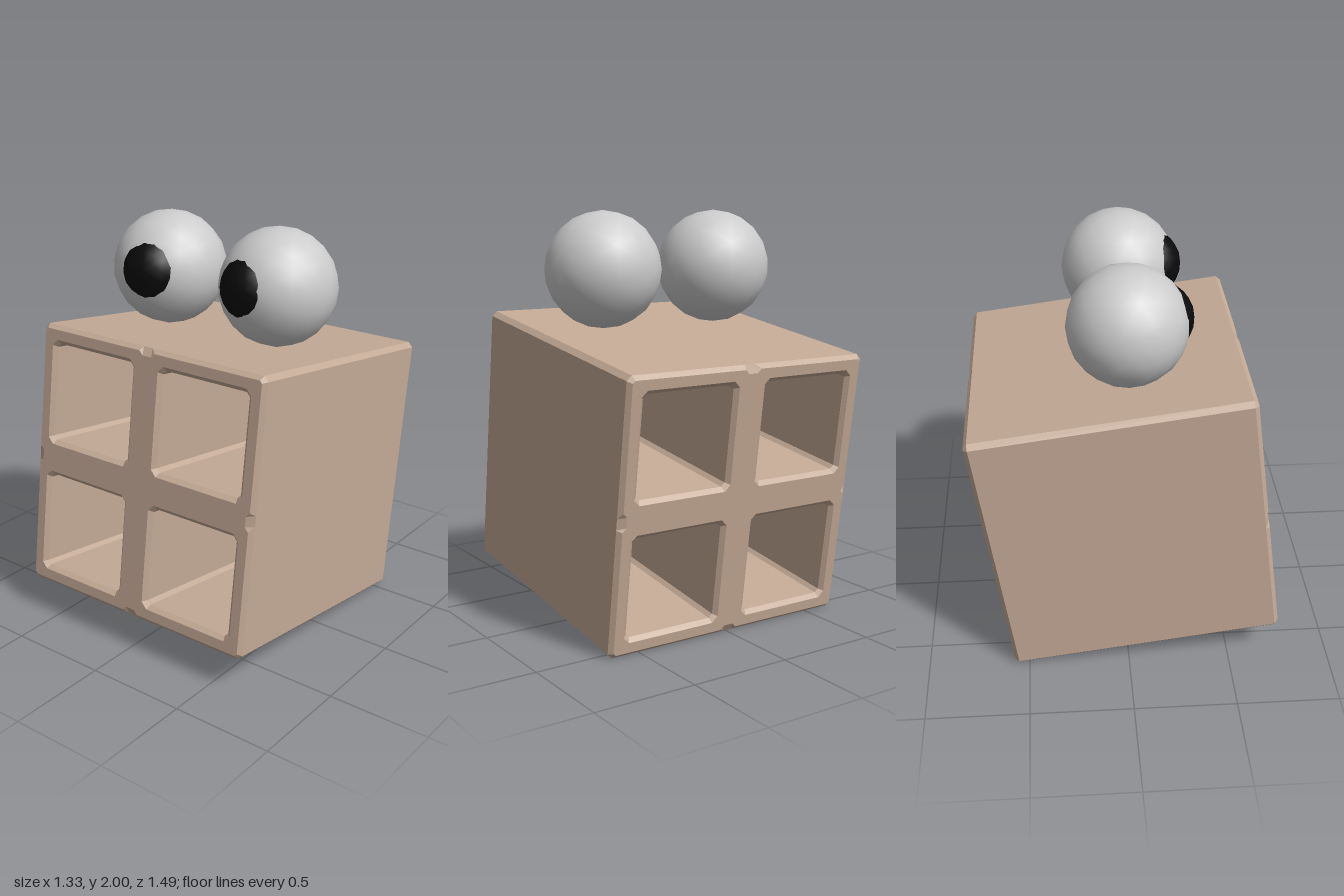
import * as THREE from 'three';

const HALF = 0.665;   // half side of the block
const BEVEL = 0.02;
const NOTCH = 0.02;   // depth of the small chips in the middle of the face edges

// Square window with small cut corners
function windowPath(cx, cy, h, cut) {
  const k = h - cut;
  return new THREE.Path([
    [-k, -h], [k, -h], [h, -k], [h, k], [k, h], [-k, h], [-h, k], [-h, -k],
  ].map(([x, y]) => new THREE.Vector2(cx + x, cy + y)));
}

// Bevelled block with four windows running right through it
function blockGeometry() {
  const e = HALF - BEVEL, c = e - 0.012;
  const side = [[-c, -e], [-0.045, -e], [-0.025, -e + NOTCH], [0.025, -e + NOTCH], [0.045, -e], [c, -e]];
  const outline = [];
  for (let i = 0; i < 4; i++) {
    for (const [x, y] of side) {
      outline.push(new THREE.Vector2(x, y).rotateAround(new THREE.Vector2(), i * Math.PI / 2));
    }
  }
  const shape = new THREE.Shape(outline);
  for (const x of [-1, 1]) {
    for (const y of [-1, 1]) shape.holes.push(windowPath(x * 0.333, y * 0.333, 0.263, 0.03));
  }
  const geo = new THREE.ExtrudeGeometry(shape, {
    depth: 2 * e, bevelEnabled: true, bevelThickness: BEVEL, bevelSize: BEVEL, bevelSegments: 1,
  });
  geo.translate(0, 0, -e);
  // Keep the long outer walls flat, so the chips stay in the end faces only
  const p = geo.attributes.position;
  for (let i = 0; i < p.count; i++) {
    if (Math.abs(p.getZ(i)) > e + 0.005) continue;
    const x = p.getX(i), y = p.getY(i);
    if (Math.abs(x) < 0.065 && Math.abs(y) > 0.61) p.setY(i, Math.sign(y) * HALF);
    if (Math.abs(y) < 0.065 && Math.abs(x) > 0.61) p.setX(i, Math.sign(x) * HALF);
  }
  geo.computeVertexNormals();
  return geo;
}

export function createModel() {
  const model = new THREE.Group();
  model.name = 'blockWithEyes';
  const tan = new THREE.MeshStandardMaterial({ color: 0xc4aa96, flatShading: true });
  const grey = new THREE.MeshStandardMaterial({ color: 0xcccccc });
  const black = new THREE.MeshStandardMaterial({ color: 0x0a0a0a });

  // Block, leaning back
  const block = new THREE.Mesh(blockGeometry(), tan);
  block.name = 'windowBlock';
  block.position.y = 0.747;
  block.rotation.x = -0.136;
  model.add(block);

  // Eyes resting on top, pupils turned a little inward and up
  for (const s of [-1, 1]) {
    const eye = new THREE.Group();
    eye.name = s > 0 ? 'leftEye' : 'rightEye';
    eye.position.set(s > 0 ? 0.333 : -0.32, 1.719, 0.01);
    const ball = new THREE.Mesh(new THREE.IcosahedronGeometry(0.283, 3), grey);
    ball.name = 'eyeball';
    const pupil = new THREE.Mesh(new THREE.IcosahedronGeometry(0.17, 3), black);
    pupil.name = 'pupil';
    pupil.position.set(-s * 0.2, 0.13, 0.97).setLength(0.14);
    eye.add(ball, pupil);
    model.add(eye);
  }
  return model;
}
